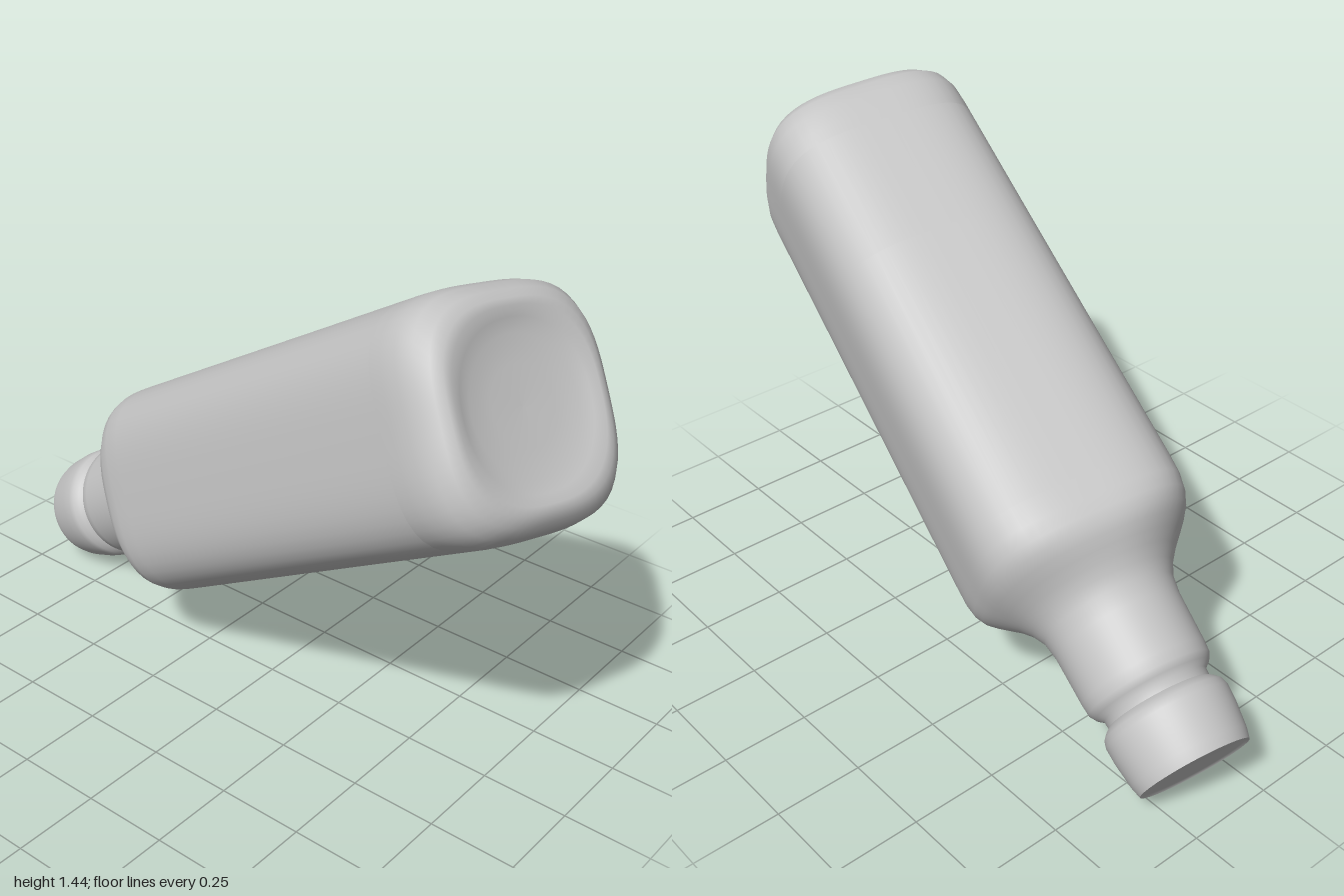
import * as THREE from 'three';

// Skin a list of rings [distance along axis, half width, squareness];
// squareness 2 is a circle, higher values give a square with bowed sides
function loft(rings, n = 72) {
  const pos = [], index = [];
  rings.forEach(([t, a, p], i) => {
    for (let j = 0; j < n; j++) {
      const angle = (j / n) * Math.PI * 2, c = Math.cos(angle), s = Math.sin(angle);
      const r = a / Math.pow(Math.abs(c) ** p + Math.abs(s) ** p, 1 / p);
      pos.push(r * c, t, r * s);
      if (i === rings.length - 1) continue;
      const q = i * n + j, next = i * n + (j + 1) % n;
      index.push(q, q + n, next, next, q + n, next + n);
    }
  });
  const g = new THREE.BufferGeometry();
  g.setAttribute('position', new THREE.Float32BufferAttribute(pos, 3));
  g.setIndex(index);
  g.computeVertexNormals();
  return g;
}

export function createModel() {
  const grey = new THREE.MeshStandardMaterial({ color: 0xc4c4c4 });
  grey.name = 'plain grey';
  const group = new THREE.Group();
  group.name = 'bottle';
  const add = (name, rings) => {
    const mesh = new THREE.Mesh(loft(rings), grey);
    mesh.name = name;
    group.add(mesh);
  };

  // Dished base with a rounded rim
  add('base', [
    [-0.03, 0, 2], [-0.032, 0.1, 2], [-0.038, 0.17, 2], [-0.05, 0.205, 2.2],
    [-0.06, 0.23, 2.6], [-0.058, 0.248, 2.9], [-0.045, 0.27, 3.2],
    [-0.015, 0.292, 3.4], [0.03, 0.303, 3.5], [0.08, 0.305, 3.5], [0.12, 0.305, 3.5],
  ]);

  // Square body, shoulder that turns round, and neck
  add('bodyAndNeck', [
    [0.12, 0.305, 3.5], [0.5, 0.305, 3.5], [1.3, 0.306, 3.5], [1.36, 0.306, 3.4],
    [1.4, 0.303, 3.1], [1.43, 0.294, 2.8], [1.455, 0.278, 2.5], [1.48, 0.256, 2.3],
    [1.505, 0.233, 2.1], [1.535, 0.21, 2], [1.57, 0.191, 2], [1.62, 0.183, 2],
    [1.76, 0.179, 2], [1.79, 0.176, 2], [1.808, 0.165, 2], [1.822, 0.148, 2], [1.85, 0.146, 2],
  ]);

  // Cap with a rounded lower lip
  add('cap', [
    [1.842, 0.144, 2], [1.852, 0.158, 2], [1.866, 0.171, 2], [1.885, 0.176, 2],
    [1.93, 0.174, 2], [2.0, 0.165, 2], [2.03, 0.157, 2],
  ]);
  add('capEnd', [[2.03, 0.157, 2], [2.025, 0.145, 2], [2.024, 0, 2]]);

  // Lean the bottle neck-down, base toward the front
  const axis = new THREE.Vector3(0.137, -0.51, -0.849).normalize();
  const side = new THREE.Vector3(0.964, -0.127, 0.233);
  side.addScaledVector(axis, -side.dot(axis)).normalize();
  const pose = new THREE.Matrix4().makeBasis(side, axis, side.clone().cross(axis));
  group.children.forEach((m) => m.geometry.applyMatrix4(pose));

  // Centre and stand on the ground
  const box = new THREE.Box3().setFromObject(group, true);
  const mid = box.getCenter(new THREE.Vector3());
  group.children.forEach((m) => m.geometry.translate(-mid.x, -box.min.y, -mid.z));
  return group;
}
